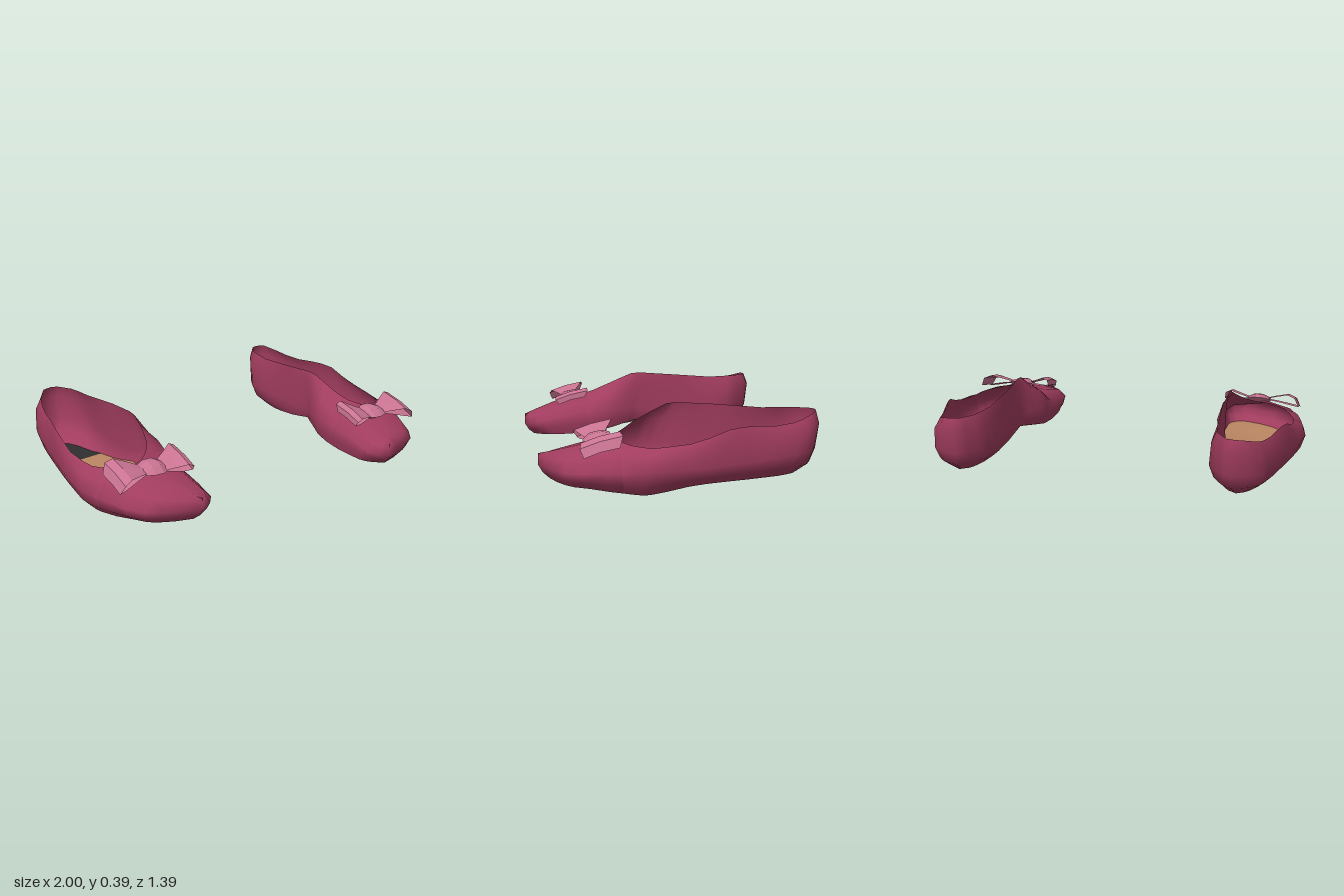
import * as THREE from 'three';
import { mergeVertices } from 'three/addons/utils/BufferGeometryUtils.js';

const material = (name, color, flatShading = false) => {
  const m = new THREE.MeshStandardMaterial({ color, side: THREE.DoubleSide, flatShading });
  m.name = name;
  return m;
};

// Piecewise linear profile: list of [z, value] in rising z
const profile = (pts) => (z) => {
  if (z <= pts[0][0]) return pts[0][1];
  for (let i = 1; i < pts.length; i++) {
    const [z0, a] = pts[i - 1], [z1, b] = pts[i];
    if (z <= z1) return a + (b - a) * (z - z0) / (z1 - z0);
  }
  return pts[pts.length - 1][1];
};
const lerp = THREE.MathUtils.lerp;

// Stations along the shoe, heel to toe
const stations = [-0.7, -0.69, -0.66, -0.61, -0.55, -0.45, -0.357, -0.28, -0.2, -0.1, 0, 0.05, 0.12,
  0.18, 0.23, 0.27, 0.305, 0.325, 0.33, 0.4, 0.5, 0.58, 0.62, 0.66, 0.69];

// Shared centre line of the closed toe
const ridgeX = [[0.33, 0.77], [0.5, 0.71], [0.62, 0.65], [0.69, 0.6]];
const ridgeY = [[0.33, 0.25], [0.4, 0.245], [0.5, 0.215], [0.6, 0.185], [0.69, 0.158]];

// Profiles of the inner and outer walls: widest line, opening rim and sole edge
const inner = {
  wideX: profile([[-0.7, 0.7], [-0.69, 0.675], [-0.66, 0.65], [-0.61, 0.615], [-0.55, 0.58], [-0.45, 0.577],
    [-0.2, 0.585], [0, 0.58], [0.05, 0.555], [0.18, 0.508], [0.4, 0.505], [0.62, 0.508], [0.66, 0.54], [0.69, 0.6]]),
  wideY: profile([[-0.7, 0.17], [-0.1, 0.16], [0.05, 0.18], [0.2, 0.18], [0.45, 0.16], [0.6, 0.125], [0.69, 0.1]]),
  rimX: profile([[-0.7, 0.72], [-0.69, 0.68], [-0.6, 0.625], [-0.45, 0.605], [-0.2, 0.59], [0.05, 0.597],
    [0.12, 0.607], [0.18, 0.62], [0.23, 0.635], [0.27, 0.66], [0.305, 0.7], [0.325, 0.74], ...ridgeX]),
  rimY: profile([[-0.7, 0.358], [-0.45, 0.355], [-0.2, 0.377], [0, 0.392], [0.05, 0.387], [0.12, 0.357],
    [0.23, 0.305], [0.305, 0.265], ...ridgeY]),
  soleX: profile([[-0.585, 0.725], [-0.55, 0.675], [-0.48, 0.65], [-0.3, 0.615], [-0.1, 0.6], [0, 0.59],
    [0.17, 0.53], [0.35, 0.52], [0.55, 0.525], [0.6, 0.55], [0.634, 0.62]]),
  soleY: profile([[-0.4, 0.05], [-0.15, 0.078], [0, 0.112], [0.12, 0.088], [0.25, 0.056], [0.4, 0.043],
    [0.6, 0.042], [0.634, 0.035]]),
};
const outer = {
  wideX: profile([[-0.7, 0.7], [-0.69, 0.75], [-0.66, 0.81], [-0.61, 0.855], [-0.55, 0.875], [-0.45, 0.9],
    [-0.2, 0.945], [0, 0.98], [0.18, 1.0], [0.33, 0.978], [0.5, 0.92], [0.58, 0.86], [0.62, 0.79], [0.66, 0.68], [0.69, 0.6]]),
  wideY: profile([[-0.7, 0.17], [-0.1, 0.13], [0.4, 0.12], [0.69, 0.1]]),
  rimX: profile([[-0.7, 0.72], [-0.69, 0.765], [-0.6, 0.825], [-0.45, 0.867], [-0.2, 0.928], [0, 0.943],
    [0.12, 0.935], [0.18, 0.92], [0.23, 0.9], [0.27, 0.875], [0.305, 0.835], [0.325, 0.79], ...ridgeX]),
  rimY: profile([[-0.7, 0.358], [-0.6, 0.325], [-0.5, 0.302], [-0.3, 0.315], [-0.2, 0.305], [-0.1, 0.27],
    [0, 0.245], [0.18, 0.226], [0.27, 0.235], ...ridgeY]),
  soleX: profile([[-0.585, 0.725], [-0.55, 0.775], [-0.48, 0.815], [-0.3, 0.865], [-0.1, 0.91], [0.1, 0.925],
    [0.25, 0.92], [0.4, 0.89], [0.55, 0.81], [0.6, 0.73], [0.634, 0.62]]),
  soleY: profile([[-0.7, 0.05], [-0.1, 0.045], [0, 0.035], [0.2, 0], [0.45, 0.028], [0.634, 0.035]]),
};
const soleZ = (z) => z * (z < 0 ? 0.84 : 0.92);

// One cross-section of a wall, from sole edge up to rim
function wallSection(side, z) {
  const zs = soleZ(z), heel = z < 0;
  const wx = side.wideX(z), wy = side.wideY(z), rx = side.rimX(z), ry = side.rimY(z);
  const sx = side.soleX(zs), sy = side.soleY(zs);
  return [
    [sx, sy, zs],
    [lerp(sx, wx, 0.7), lerp(sy, wy, 0.42), lerp(zs, z, 0.6)],
    [wx, wy, z * (heel ? 0.975 : 1)],
    [lerp(wx, rx, 0.28), lerp(wy, ry, 0.67), z],
    [rx, ry, z * (heel ? 0.97 : 1)],
  ];
}

// Joins rows of points into a surface; flip turns its front side over
function surface(grids, mirror) {
  const pos = [], idx = [];
  for (const { rows, flip } of grids) {
    const base = pos.length / 3, n = rows[0].length;
    rows.forEach((r) => r.forEach(([x, y, z]) => pos.push(x * mirror, y, z)));
    for (let i = 0; i < rows.length - 1; i++) for (let j = 0; j < n - 1; j++) {
      const a = base + i * n + j, b = a + n, c = a + 1, d = b + 1;
      if (flip !== (mirror < 0)) idx.push(a, b, c, c, b, d);
      else idx.push(a, c, b, c, d, b);
    }
  }
  let g = new THREE.BufferGeometry();
  g.setAttribute('position', new THREE.Float32BufferAttribute(pos, 3));
  g.setIndex(idx);
  g = mergeVertices(g, 1e-4);
  g.computeVertexNormals();
  return g;
}

// The bow lies on the vamp, sloping up toward the heel
const bowZ = 0.415, bowSlope = 0.27;

// Ring of the bow's knot
function knotRing(x, y, depth, thick) {
  const shape = [[1, 0.1], [0.45, 1], [-0.4, 0.85], [-1, 0.2], [-0.5, -0.9], [0.4, -1], [1, 0.1]];
  return shape.map(([dz, dy]) => [x, y + dy * thick - dz * depth * bowSlope, bowZ + dz * depth]);
}

// Ribbon strip across one point [x, y, half width] of a loop's path
const ribbonRow = ([x, y, w]) => [1, 0.1, -1].map((t) =>
  [x, y - t * w * bowSlope + (Math.abs(t) < 1 ? 0.007 : 0), bowZ + t * w]);

// Loop paths: out along the top, round the tip and back underneath
const outerLoop = [[0.76, 0.25, 0.035], [0.81, 0.264, 0.06], [0.88, 0.28, 0.092], [0.92, 0.262, 0.102],
  [0.942, 0.215, 0.085], [0.9, 0.222, 0.075], [0.83, 0.235, 0.055], [0.77, 0.243, 0.035]];
const innerLoop = [[0.665, 0.25, 0.045], [0.61, 0.268, 0.07], [0.56, 0.286, 0.095], [0.53, 0.272, 0.095],
  [0.527, 0.24, 0.075], [0.575, 0.235, 0.065], [0.655, 0.243, 0.045]];

export function createModel() {
  const red = material('wine red', 0xa23d5f);
  const tan = material('tan', 0xbc8763);
  const black = material('black', 0x2f2f2f);
  const pink = material('pink', 0xc87391, true);
  const model = new THREE.Group();

  for (const s of [1, -1]) {
    const shoe = new THREE.Group();
    shoe.name = s > 0 ? 'leftShoe' : 'rightShoe';
    const add = (name, grids, mat) => {
      const mesh = new THREE.Mesh(surface(grids, s), mat);
      mesh.name = name;
      shoe.add(mesh);
    };

    // Upper: two walls meeting at the heel and over the toe
    add('upper', [
      { rows: stations.map((z) => wallSection(outer, z)), flip: false },
      { rows: stations.map((z) => wallSection(inner, z)), flip: true },
    ], red);

    // Sole with a raised inner arch, and heel patch
    const soleRow = (z) => {
      const a = wallSection(inner, z)[0], b = wallSection(outer, z)[0];
      return [0, 0.33, 0.67, 1].map((t) => a.map((v, k) => lerp(v, b[k], t)));
    };
    add('sole', [{ rows: stations.filter((z) => z >= -0.357).map(soleRow), flip: true }], tan);
    add('heelPatch', [{ rows: stations.filter((z) => z <= -0.357).map(soleRow), flip: true }], black);

    // Bow: two ribbon loops and a knot
    add('bowInnerLoop', [{ rows: innerLoop.map(ribbonRow), flip: true }], pink);
    add('bowOuterLoop', [{ rows: outerLoop.map(ribbonRow), flip: false }], pink);
    add('bowKnot', [{ rows: [
      knotRing(0.65, 0.246, 0.045, 0.012), knotRing(0.685, 0.25, 0.065, 0.026),
      knotRing(0.73, 0.25, 0.065, 0.026), knotRing(0.775, 0.246, 0.045, 0.012)], flip: true }], pink);
    model.add(shoe);
  }
  return model;
}
